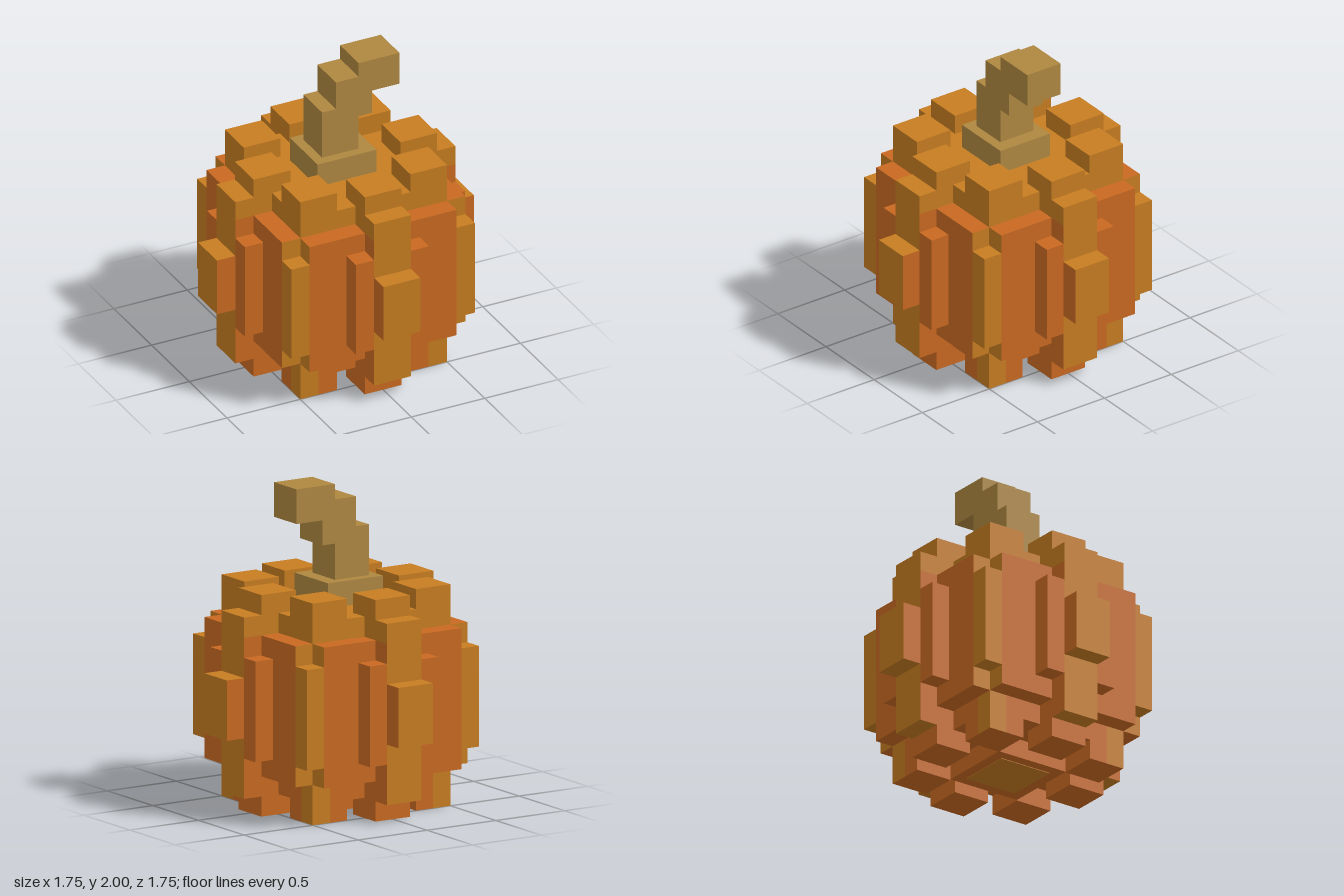
import * as THREE from 'three';

export function createModel() {
  const model = new THREE.Group();
  model.name = 'blockyPumpkin';

  const mat = (name, color) => {
    const m = new THREE.MeshStandardMaterial({ color });
    m.name = name;
    return m;
  };
  const dark = mat('deepOrange', 0xc96921);
  const light = mat('goldenOrange', 0xc77d21);
  const wood = mat('stemBrown', 0xaf8841);

  // Box from its minimum and maximum corners
  const box = (parent, name, [x0, y0, z0], [x1, y1, z1], material) => {
    const geo = new THREE.BoxGeometry(x1 - x0, y1 - y0, z1 - z0);
    const mesh = new THREE.Mesh(geo, material);
    mesh.position.set((x0 + x1) / 2, (y0 + y1) / 2, (z0 + z1) / 2);
    mesh.name = name;
    parent.add(mesh);
    return mesh;
  };

  // Face materials, in the order +x, -x, +y, -y, +z, -z
  const darkSides = [dark, dark, light, light, light, light];
  const lightEnds = [light, light, dark, dark, dark, dark];
  const darkBottom = [light, light, light, dark, light, light];

  // Core: crossed lower body, with a golden cap on top
  box(model, 'coreWide', [-0.5, 0.125, -0.375], [0.5, 1.125, 0.375], dark);
  box(model, 'coreDeep', [-0.375, 0.125, -0.5], [0.375, 1.125, 0.5], dark);
  box(model, 'cap', [-0.5, 1.125, -0.5], [0.5, 1.25, 0.5], light);

  // Foot under the middle, with a golden patch
  box(model, 'foot', [-0.25, 0.004, -0.25], [0.25, 0.125, 0.25], dark);
  box(model, 'footPatch', [-0.18, 0, -0.18], [0.18, 0.004, 0.18], light);

  // The same side and corner, repeated four times around the core
  for (let i = 0; i < 4; i++) {
    const side = new THREE.Group();
    side.name = 'side' + (i + 1);
    side.rotation.y = (i * Math.PI) / 2;
    model.add(side);

    // Side layers, from the inside out
    box(side, 'panel', [-0.5, 0.25, 0.5], [0.5, 1.125, 0.625], lightEnds);
    box(side, 'rib', [-0.125, 0.125, 0.5], [0.125, 1.125, 0.75], darkSides);
    box(side, 'ribTop', [-0.125, 1.125, 0.5], [0.125, 1.25, 0.75], light);
    for (const s of [-1, 1]) {
      box(side, 'ribFlank', [s * 0.1875 - 0.0625, 0.375, 0.625],
        [s * 0.1875 + 0.0625, 1, 0.75], dark);
    }
    box(side, 'bump', [-0.125, 0.5, 0.75], [0.125, 0.875, 0.875], darkSides);
    box(side, 'topBlock', [-0.125, 1.25, 0.375], [0.125, 1.375, 0.625], light);
    box(side, 'bottomBlock', [-0.125, 0, 0.375], [0.125, 0.125, 0.625], dark);

    // Corner pieces
    box(side, 'cornerTopBlock', [0.25, 1.25, 0.25], [0.5, 1.375, 0.5], light);
    box(side, 'cornerColumn', [0.5, 0.375, 0.5], [0.625, 1, 0.625], light);
    box(side, 'cornerPost', [0.375, 0, 0.375], [0.5, 1.125, 0.5], darkBottom);
    box(side, 'cornerFoot', [0.25, 0, 0.25], [0.375, 0.125, 0.5], dark);
    box(side, 'cornerFoot', [0.375, 0, 0.25], [0.5, 0.125, 0.375], dark);
  }

  // Stem: square base and a stepped, leaning stalk
  box(model, 'stemBase', [-0.22, 1.25, -0.185], [0.18, 1.405, 0.185], wood);
  const outline = [
    [-0.157, 1.4], [0.09, 1.4], [0.09, 1.63], [0.182, 1.63], [0.182, 1.785], [0.37, 1.785],
    [0.37, 2], [0.092, 2], [0.092, 1.905], [-0.063, 1.905], [-0.063, 1.72], [-0.157, 1.72],
  ].map(([x, y]) => new THREE.Vector2(x, y));
  const stalk = new THREE.Mesh(
    new THREE.ExtrudeGeometry(new THREE.Shape(outline), { depth: 0.248, bevelEnabled: false }), wood);
  stalk.position.z = -0.126;
  stalk.name = 'stalk';
  model.add(stalk);

  return model;
}
